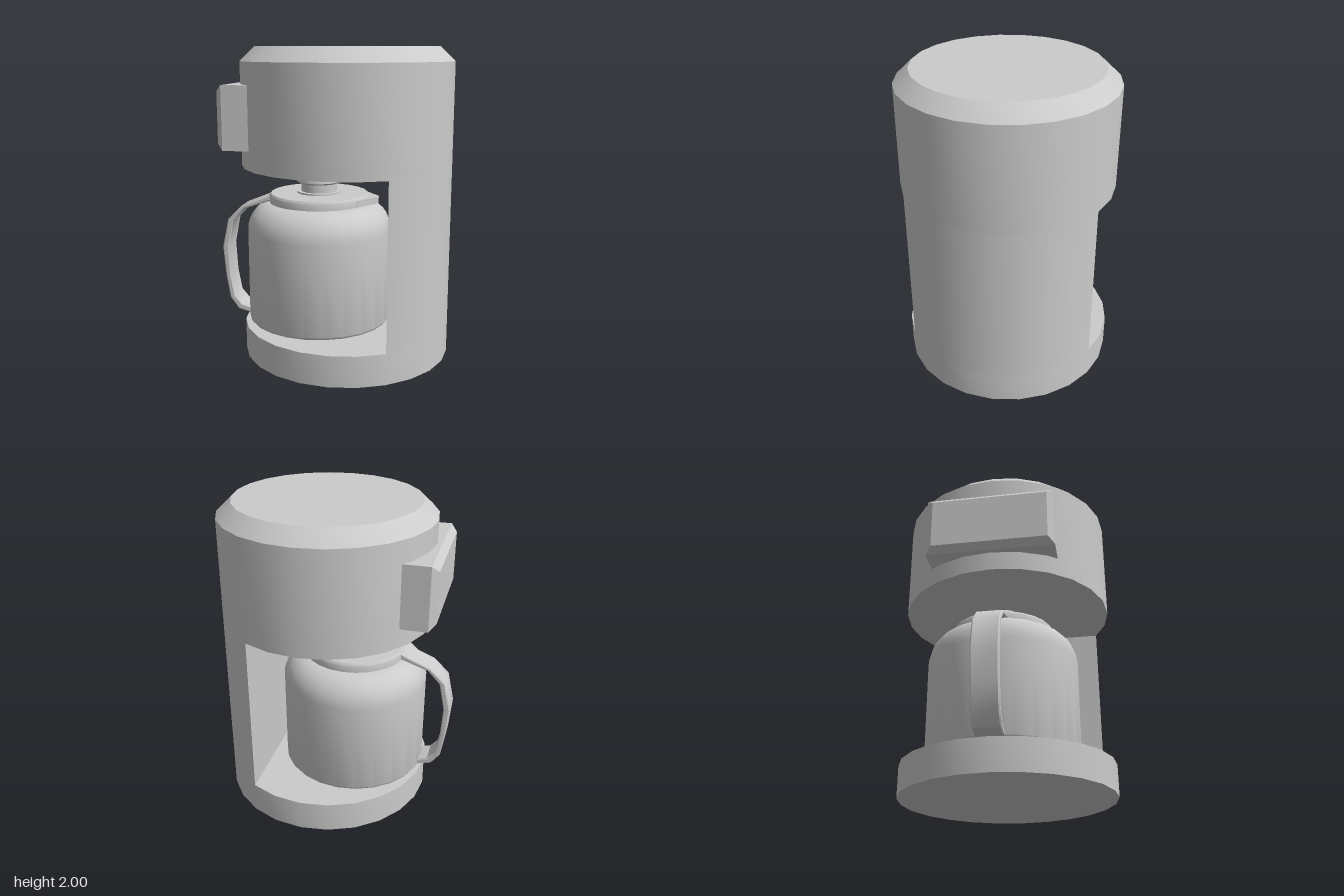
import * as THREE from 'three';
import { toCreasedNormals } from 'three/addons/utils/BufferGeometryUtils.js';

const SIDES = 24;
const BODY_X = 0.08, BODY_R = 0.68;
const POT_X = -0.105, POT_R = 0.475;

const material = new THREE.MeshStandardMaterial({ color: 0xcccccc });

function part(name, geometry, parent) {
  const mesh = new THREE.Mesh(geometry, material);
  mesh.name = name;
  parent.add(mesh);
  return mesh;
}

// Turned part from [radius, height] pairs, listed bottom to top
function turned(profile) {
  const points = profile.map(([r, y]) => new THREE.Vector2(r, y));
  return toCreasedNormals(new THREE.LatheGeometry(points, SIDES), 0.6);
}

const shapeOf = (pairs) => new THREE.Shape(pairs.map(([x, y]) => new THREE.Vector2(x, y)));

function createHousing() {
  const housing = new THREE.Group();
  housing.name = 'housing';
  housing.position.x = BODY_X;

  part('base', turned([[0, 0], [BODY_R, 0], [BODY_R, 0.2], [0, 0.2]]), housing);
  part('waterTank', turned([[0, 1.25], [BODY_R, 1.25], [BODY_R, 1.91], [0.585, 2], [0, 2]]), housing);

  // Column: a 120 degree slice of the round body, closed by a flat wall
  const column = new THREE.CylinderGeometry(BODY_R, BODY_R, 1.05, SIDES / 3, 1, true, Math.PI / 6, Math.PI * 2 / 3);
  part('column', column, housing).position.y = 0.725;
  const wall = part('columnWall', new THREE.PlaneGeometry(2 * BODY_R * Math.sin(Math.PI / 3), 1.05), housing);
  wall.position.set(BODY_R / 2, 0.725, 0);
  wall.rotation.y = -Math.PI / 2;
  return housing;
}

// Bevelled block that sticks out of the tank
function createPanel(parent) {
  const face = shapeOf([[-0.36, -0.16], [0.36, -0.16], [0.36, 0.16], [-0.36, 0.16]]);
  const geometry = new THREE.ExtrudeGeometry(face, {
    depth: 0.3, bevelSize: 0.04, bevelThickness: 0.04, bevelSegments: 1,
  });
  geometry.translate(0, 1.57, 0.33).rotateY(-Math.PI / 2);
  part('controlPanel', geometry, parent);
}

function createPot() {
  const pot = new THREE.Group();
  pot.name = 'pot';
  pot.position.x = POT_X;

  // Jug with a rounded shoulder
  const jug = [[0, 0.2], [0.465, 0.2], [POT_R, 0.215]];
  for (let i = 0; i <= 8; i++) {
    const a = (i / 8) * Math.PI / 2;
    jug.push([0.315 + 0.16 * Math.cos(a), 0.81 + 0.185 * Math.sin(a)]);
  }
  jug.push([0, 0.995]);
  part('jug', turned(jug), pot);

  part('lid', turned([[0, 0.995], [0.33, 0.995], [0.33, 1.04], [0.32, 1.055], [0, 1.055]]), pot);
  part('knob', turned([
    [0.145, 1.055], [0.145, 1.066], [0.118, 1.066], [0.118, 1.122],
    [0.135, 1.122], [0.146, 1.132], [0.143, 1.152], [0.12, 1.17], [0, 1.17],
  ]), pot);

  // Pouring lip
  const lip = new THREE.ExtrudeGeometry(
    shapeOf([[0.2, -0.2], [0.28, -0.175], [0.395, -0.02], [0.395, 0.02], [0.28, 0.175], [0.2, 0.2]]),
    { depth: 0.043, bevelEnabled: false });
  lip.rotateX(-Math.PI / 2);
  part('pouringLip', lip, pot).position.y = 0.996;
  return pot;
}

// Flat strap handle: outer edge down, inner edge back up
function createHandle(parent) {
  const outer = [[-0.42, 1.038], [-0.62, 0.957], [-0.717, 0.862], [-0.76, 0.667],
    [-0.743, 0.465], [-0.717, 0.307], [-0.659, 0.228], [-0.555, 0.201]];
  const inner = [[-0.555, 0.243], [-0.632, 0.265], [-0.68, 0.323], [-0.706, 0.465],
    [-0.717, 0.667], [-0.68, 0.852], [-0.6, 0.937], [-0.42, 0.999]];
  const strap = new THREE.ExtrudeGeometry(shapeOf([...outer, ...inner]), {
    depth: 0.15, bevelSize: 0.008, bevelOffset: -0.008, bevelThickness: 0.008, bevelSegments: 1,
  });
  strap.translate(0, 0, -0.075);
  part('handle', toCreasedNormals(strap, 0.6), parent);
}

export function createModel() {
  const model = new THREE.Group();
  model.name = 'coffeeMaker';
  model.add(createHousing(), createPot());
  createPanel(model);
  createHandle(model);
  return model;
}
